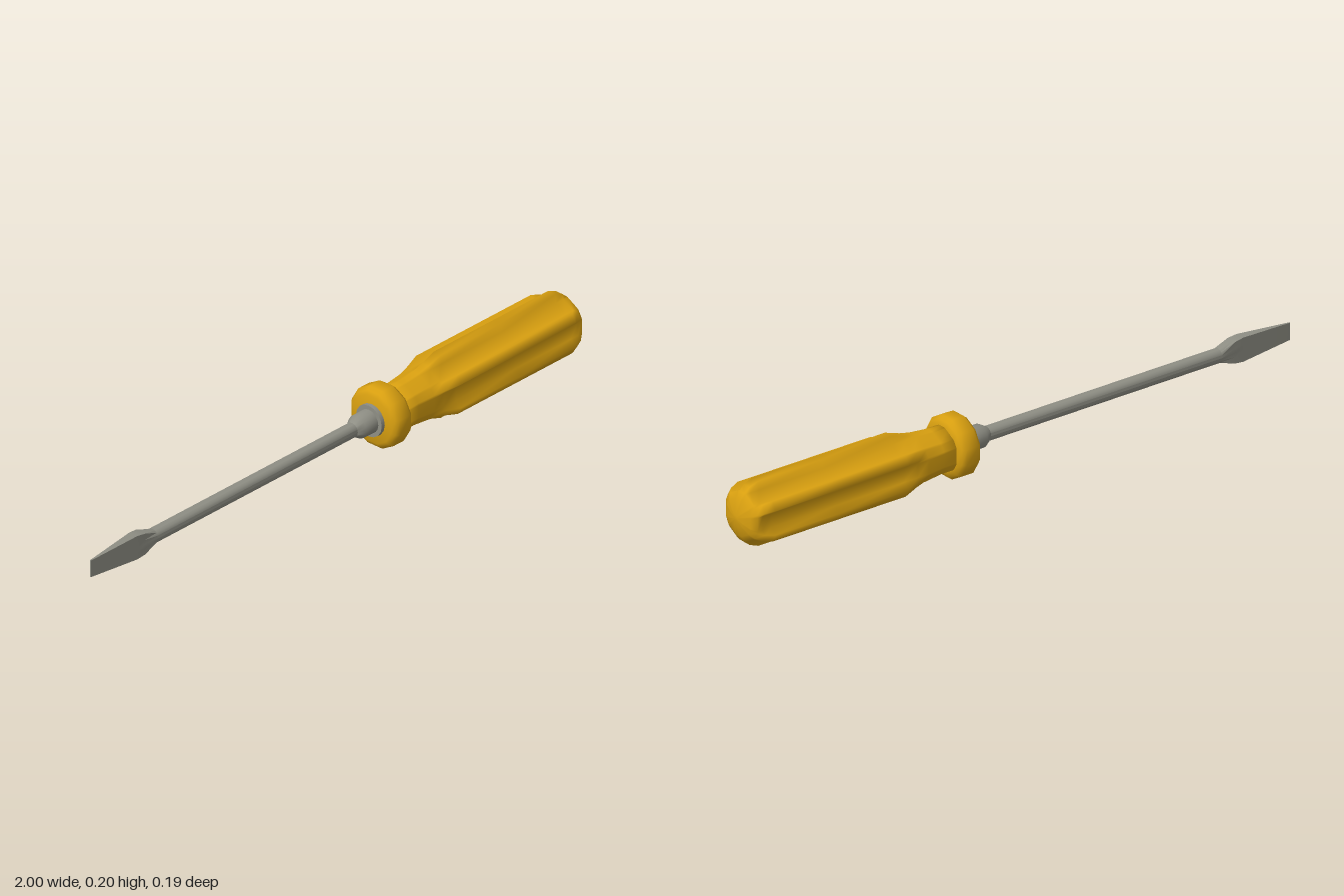
import * as THREE from 'three';
import { toCreasedNormals } from 'three/addons/utils/BufferGeometryUtils.js';

const AXIS_Y = 0.1025;

// Skin closed cross-sections along x. section(i) returns { x, pts: [[y, z], ...] }, winding y to z.
function loft(sections, crease) {
  const n = sections[0].pts.length, pos = [], index = [];
  for (const { x, pts } of sections) for (const [y, z] of pts) pos.push(x, y, z);
  for (let i = 0; i < sections.length - 1; i++) {
    for (let j = 0; j < n; j++) {
      const k = (j + 1) % n;
      const a = i * n + j, b = i * n + k, c = a + n, d = b + n;
      index.push(a, b, c, b, d, c);
    }
  }
  // End caps
  const first = pos.length / 3, last = (sections.length - 1) * n;
  pos.push(sections[0].x, 0, 0, sections[sections.length - 1].x, 0, 0);
  for (let j = 0; j < n; j++) {
    const k = (j + 1) % n;
    index.push(first, k, j, first + 1, last + j, last + k);
  }
  const g = new THREE.BufferGeometry();
  g.setAttribute('position', new THREE.Float32BufferAttribute(pos, 3));
  g.setIndex(index);
  if (crease === undefined) {
    g.computeVertexNormals();
    return g;
  }
  return toCreasedNormals(g, crease);
}

const ring = (angles, radius) => angles.map((a) => [Math.cos(a) * radius, Math.sin(a) * radius]);
const evenAngles = (n, offset = 0) =>
  Array.from({ length: n }, (_, i) => offset + (i / n) * Math.PI * 2);

// Round parts from [x, radius] profiles
const turned = (profile, sides, offset, crease) =>
  loft(profile.map(([x, r]) => ({ x, pts: ring(evenAngles(sides, offset), r) })), crease);

function handleGeometry() {
  // Six ridges: two crest corners and two groove-floor corners each
  const corners = [];
  for (let i = 0; i < 6; i++) {
    for (const [deg, floor] of [[-13.5, true], [-8.2, false], [8.2, false], [13.5, true]]) {
      corners.push({ a: THREE.MathUtils.degToRad(i * 60 + deg), floor });
    }
  }
  const profile = [
    [0.245, 0.071], [0.3, 0.071], [0.36, 0.077], [0.4, 0.087], [0.45, 0.103], [0.7, 0.103],
    [0.93, 0.103], [0.96, 0.092], [0.978, 0.077], [0.989, 0.058], [0.997, 0.03], [1, 0.008],
  ];
  return loft(profile.map(([x, r]) => ({
    x,
    pts: corners.map(({ a, floor }) => {
      const rad = floor ? Math.min(r, 0.077) : r;
      return [Math.cos(a) * rad, Math.sin(a) * rad];
    }),
  })));
}

function bladeGeometry() {
  const angles = evenAngles(16);
  // Rectangular section with half height h and half thickness t
  const rect = (h, t) => angles.map((a) => {
    const c = Math.cos(a), s = Math.sin(a), m = Math.max(Math.abs(c), Math.abs(s));
    return [(c / m) * h, (s / m) * t];
  });
  return loft([
    { x: -1, pts: rect(0.027, 0.002) },
    { x: -0.82, pts: rect(0.038, 0.0155) },
    { x: -0.79, pts: rect(0.034, 0.0175) },
    { x: -0.74, pts: ring(angles, 0.0225) },
  ], 0.5);
}

export function createModel() {
  const amber = new THREE.MeshStandardMaterial({ color: 0xd9a010 });
  amber.name = 'amber plastic';
  const steel = new THREE.MeshStandardMaterial({ color: 0x8e8e84 });
  steel.name = 'grey steel';

  const model = new THREE.Group();
  model.name = 'screwdriver';
  const add = (name, geometry, material) => {
    const mesh = new THREE.Mesh(geometry, material);
    mesh.name = name;
    mesh.position.y = AXIS_Y;
    model.add(mesh);
  };

  // Handle with its guard collar
  add('handle', handleGeometry(), amber);
  add('collar', turned([
    [0.178, 0.076], [0.184, 0.088], [0.195, 0.0965], [0.238, 0.0965], [0.25, 0.088], [0.256, 0.07],
  ], 12, Math.PI / 12, 0.9), amber);

  // Steel ferrule, shank and flat tip
  add('ferrule', turned([
    [0.095, 0.0225], [0.118, 0.036], [0.165, 0.037], [0.165, 0.05], [0.182, 0.05],
  ], 16, 0, 0.7), steel);
  add('shank', turned([[-0.74, 0.0225], [0.12, 0.0225]], 16, 0, 0.7), steel);
  add('blade', bladeGeometry(), steel);

  return model;
}
